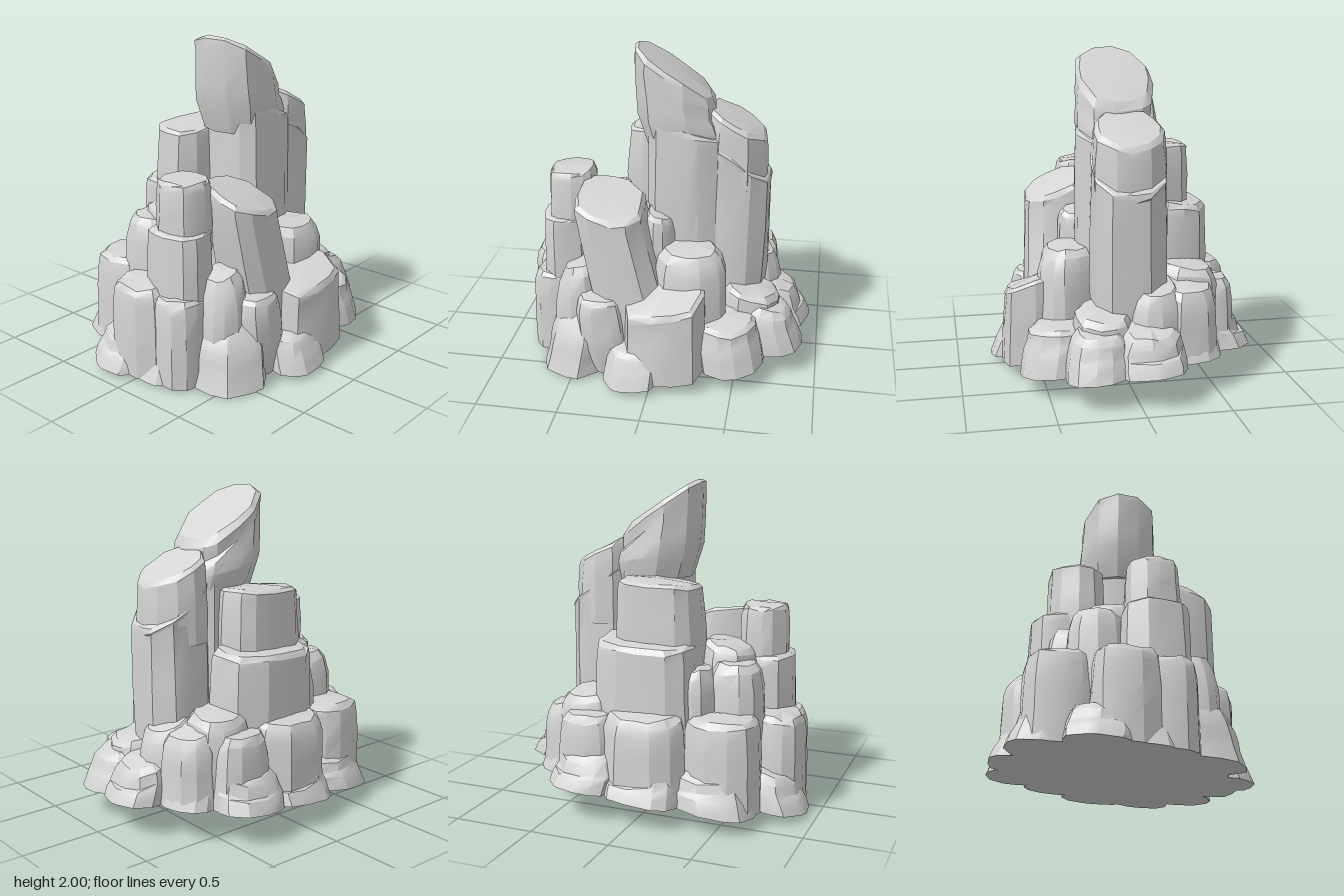
import * as THREE from 'three';
import { toCreasedNormals } from 'three/addons/utils/BufferGeometryUtils.js';

const SIDES = 12;

// small seeded random, -1..1
function makeRandom(seed) {
  let s = seed;
  return () => {
    s = (s * 16807) % 2147483647;
    return (s / 2147483647) * 2 - 1;
  };
}

// the whole cluster is cut off by one tilted ground plane
const groundY = (x, z) => Math.max(0, 0.105 + 0.09 * x - 0.07 * z);

// One boulder or column: rings of a rounded polygon with a bevelled, sloping top.
// sx, sz: slope of the top; lx, lz: shift of the foot; foot, mid, crown: ring scales;
// box: 2 is an ellipse, higher is squarer
function rockGeometry(seed, { x, z, rx, rz, top, bottom = null, sx = 0, sz = 0, lx = 0, lz = 0,
  foot = 1, mid = 1, crown = 0.74, bevel = 0.09, box = 2.5 }) {
  const rnd = makeRandom(seed * 7919 + 13);
  for (let i = 0; i < 5; i++) rnd();
  const turn = rnd() * 0.25;
  const outline = [];
  for (let k = 0; k < SIDES; k++) {
    const a = turn + ((k + rnd() * 0.25) / SIDES) * Math.PI * 2;
    const c = Math.cos(a), s = Math.sin(a);
    const r = (1.01 + rnd() * 0.04) / (Math.abs(c) ** box + Math.abs(s) ** box) ** (1 / box);
    outline.push([c * r * rx, s * r * rz]);
  }
  const low = bottom ?? groundY(x, z);
  const h = top - low;
  const b = Math.min(bevel, h * 0.45);
  // [height fraction, scale, drop below the top plane]
  const rings = [[0, foot], [0.42, mid], [0.7, (mid + 0.97) / 2], [1, 0.95, b], [1, (0.95 + crown) / 2 + 0.04, b * 0.35], [1, crown, 0]];
  const pos = [], index = [];
  for (const [t, scale, drop] of rings) {
    for (const [ox, oz] of outline) {
      const wobble = t > 0 ? 1 + rnd() * 0.025 : 1;
      const px = x + lx * (1 - t) + ox * scale * wobble;
      const pz = z + lz * (1 - t) + oz * scale * wobble;
      const base = bottom ?? groundY(px, pz);
      const roof = top + sx * ox * scale + sz * oz * scale;
      let y = base + (roof - base) * t * (1 - b / h);
      if (drop !== undefined) y = Math.max(base + 0.02, roof - drop + rnd() * 0.01);
      pos.push(px, y, pz);
    }
  }
  for (let i = 0; i < rings.length - 1; i++) {
    for (let k = 0; k < SIDES; k++) {
      const n = (k + 1) % SIDES, l = i * SIDES, u = l + SIDES;
      index.push(l + k, u + k, l + n, l + n, u + k, u + n);
    }
  }
  // bottom and top caps
  const last = (rings.length - 1) * SIDES, cap = rings.length * SIDES;
  pos.push(x + lx, bottom ?? groundY(x + lx, z + lz), z + lz, x, top + 0.012, z);
  for (let k = 0; k < SIDES; k++) {
    const n = (k + 1) % SIDES;
    index.push(cap, k, n, cap + 1, last + n, last + k);
  }
  const g = new THREE.BufferGeometry();
  g.setAttribute('position', new THREE.Float32BufferAttribute(pos, 3));
  g.setIndex(index);
  return toCreasedNormals(g, 0.42);
}

export function createModel() {
  const model = new THREE.Group();
  model.name = 'rockCluster';
  const stone = new THREE.MeshStandardMaterial({ color: 0xd4d4d4 });
  stone.name = 'grey stone';
  let count = 0;
  const rock = (name, o) => {
    const mesh = new THREE.Mesh(rockGeometry(++count, o), stone);
    mesh.name = name;
    model.add(mesh);
  };
  // skirt stone: x, z give its foot, the top leans in towards the middle
  const skirt = (name, o) => {
    const lean = 0.055 / Math.hypot(o.x, o.z);
    const lx = o.x * lean, lz = o.z * lean;
    rock(name, { bevel: 0.09, crown: 0.66, box: 2.3, ...o, x: o.x - lx, z: o.z - lz, lx, lz });
  };

  // hidden heart that ties the stones together
  rock('core', { x: 0, z: -0.02, rx: 0.62, rz: 0.52, top: 0.38, crown: 0.7, box: 2 });

  // tall spire and its neighbours
  rock('spireTip', { x: 0.055, z: 0.01, rx: 0.265, rz: 0.255, top: 1.85, bottom: 1.4, sx: -0.7, sz: 0.06, lx: 0.06, foot: 0.88, crown: 0.84, bevel: 0.12 });
  rock('spireColumn', { x: 0.14, z: 0.03, rx: 0.24, rz: 0.24, top: 1.53, sx: -0.3, lx: 0.02, foot: 0.95, crown: 0.9, bevel: 0.05, box: 3 });
  rock('sideColumnTip', { x: 0.44, z: -0.01, rx: 0.195, rz: 0.22, top: 1.56, bottom: 1.1, sx: -0.5, crown: 0.82, bevel: 0.08 });
  rock('sideColumn', { x: 0.455, z: 0, rx: 0.205, rz: 0.225, top: 1.34, sx: -0.7, lx: -0.02, foot: 0.9, crown: 0.93, bevel: 0.04, box: 3 });
  rock('backColumnTop', { x: -0.02, z: -0.27, rx: 0.27, rz: 0.19, top: 1.41, bottom: 0.9, sx: 0.06, foot: 0.97, crown: 0.84, bevel: 0.06 });
  rock('backColumn', { x: 0.03, z: -0.36, rx: 0.33, rz: 0.22, top: 1.06, sz: 0.12, crown: 0.84, bevel: 0.07 });

  // leaning columns on the front and the right flank
  rock('leaningColumn', { x: -0.29, z: 0.34, rx: 0.22, rz: 0.2, top: 1.12, sx: -0.17, sz: -0.38, lx: 0.22, lz: 0.04, foot: 1.03, crown: 0.86, bevel: 0.06, box: 2.8 });
  rock('flankColumnTop', { x: -0.56, z: 0.14, rx: 0.15, rz: 0.165, top: 1.23, bottom: 0.8, crown: 0.8, bevel: 0.05 });
  rock('flankColumn', { x: -0.6, z: 0.14, rx: 0.17, rz: 0.2, top: 0.94, foot: 1.05, crown: 0.82, bevel: 0.06 });
  rock('innerStone', { x: -0.4, z: -0.08, rx: 0.18, rz: 0.18, top: 1.02, sx: 0.2, crown: 0.7 });
  rock('innerBackStone', { x: -0.27, z: -0.3, rx: 0.13, rz: 0.16, top: 0.9, crown: 0.65, bevel: 0.13 });
  rock('wedgeStone', { x: 0, z: 0.22, rx: 0.1, rz: 0.14, top: 1.0, sx: -0.3, crown: 0.7 });

  // middle tier
  rock('frontBlock', { x: 0.075, z: 0.5, rx: 0.24, rz: 0.22, top: 0.59, sx: 0.2, sz: -0.35, lx: -0.01, foot: 1.05, crown: 0.86, bevel: 0.05, box: 3.5 });
  rock('frontShoulder', { x: 0.2, z: 0.32, rx: 0.23, rz: 0.2, top: 0.82, sz: -0.1, crown: 0.66, bevel: 0.13 });
  rock('frontFlankPeak', { x: -0.49, z: 0.36, rx: 0.16, rz: 0.16, top: 0.68, sx: 0.3, foot: 1.1, crown: 0.55, bevel: 0.2 });
  rock('frontFlankStone', { x: -0.33, z: 0.49, rx: 0.16, rz: 0.14, top: 0.54, lx: 0.05, foot: 0.8, crown: 0.72, bevel: 0.1 });
  rock('flankStone', { x: -0.73, z: -0.04, rx: 0.15, rz: 0.2, top: 0.6, sx: 0.15, crown: 0.76 });
  rock('flankFrontStone', { x: -0.67, z: 0.2, rx: 0.16, rz: 0.17, top: 0.56, crown: 0.75 });
  rock('backFlankStone', { x: -0.47, z: -0.38, rx: 0.23, rz: 0.22, top: 0.64, foot: 1.03, crown: 0.76 });
  rock('backFlankUpper', { x: -0.48, z: -0.18, rx: 0.18, rz: 0.18, top: 0.93, foot: 1.08, crown: 0.62, bevel: 0.15 });
  rock('backStone', { x: -0.02, z: -0.53, rx: 0.26, rz: 0.18, top: 0.66, sz: 0.2, foot: 1.05, crown: 0.75 });
  rock('backSideUpper', { x: 0.39, z: -0.38, rx: 0.19, rz: 0.19, top: 0.72, sx: -0.1, sz: 0.1, foot: 1.05, crown: 0.7, bevel: 0.11 });
  rock('backSideStone', { x: 0.34, z: -0.53, rx: 0.19, rz: 0.14, top: 0.62, foot: 1.1, crown: 0.68, bevel: 0.13 });
  rock('sideBackStone', { x: 0.55, z: -0.34, rx: 0.17, rz: 0.18, top: 0.64, sx: -0.3, foot: 1.06, crown: 0.7, bevel: 0.12 });
  rock('sideStone', { x: 0.58, z: -0.14, rx: 0.16, rz: 0.17, top: 0.64, sx: -0.4, foot: 1.1, crown: 0.65, bevel: 0.13 });
  rock('sideFrontStone', { x: 0.57, z: 0.17, rx: 0.19, rz: 0.18, top: 0.5, sx: -0.2, crown: 0.75 });

  // low skirt of stones around the foot
  skirt('footFront', { x: -0.11, z: 0.64, rx: 0.175, rz: 0.155, top: 0.26, sz: -0.1, bevel: 0.07 });
  skirt('footFrontFlank', { x: -0.49, z: 0.43, rx: 0.23, rz: 0.235, top: 0.41, sx: 0.1, sz: -0.2, mid: 0.95, crown: 0.55, bevel: 0.12, box: 1.8 });
  skirt('footFrontSide', { x: 0.48, z: 0.45, rx: 0.195, rz: 0.2, top: 0.4, sz: -0.1, crown: 0.76, bevel: 0.07 });
  skirt('footSideFront', { x: 0.73, z: 0.23, rx: 0.175, rz: 0.185, top: 0.42, sx: -0.2 });
  skirt('footSide', { x: 0.775, z: -0.08, rx: 0.165, rz: 0.2, top: 0.43, sx: -0.35 });
  skirt('footSideBack', { x: 0.59, z: -0.36, rx: 0.15, rz: 0.18, top: 0.43 });
  skirt('footBackSide', { x: 0.34, z: -0.6, rx: 0.21, rz: 0.19, top: 0.42, sz: 0.3 });
  skirt('footBack', { x: -0.04, z: -0.59, rx: 0.25, rz: 0.19, top: 0.38, sz: 0.2 });
  skirt('footBackFlank', { x: -0.45, z: -0.48, rx: 0.25, rz: 0.2, top: 0.32 });
  skirt('footFlankBack', { x: -0.76, z: -0.18, rx: 0.18, rz: 0.2, top: 0.28, sx: 0.25 });
  skirt('footFlank', { x: -0.75, z: 0.08, rx: 0.12, rz: 0.15, top: 0.24, bevel: 0.08 });
  return model;
}
